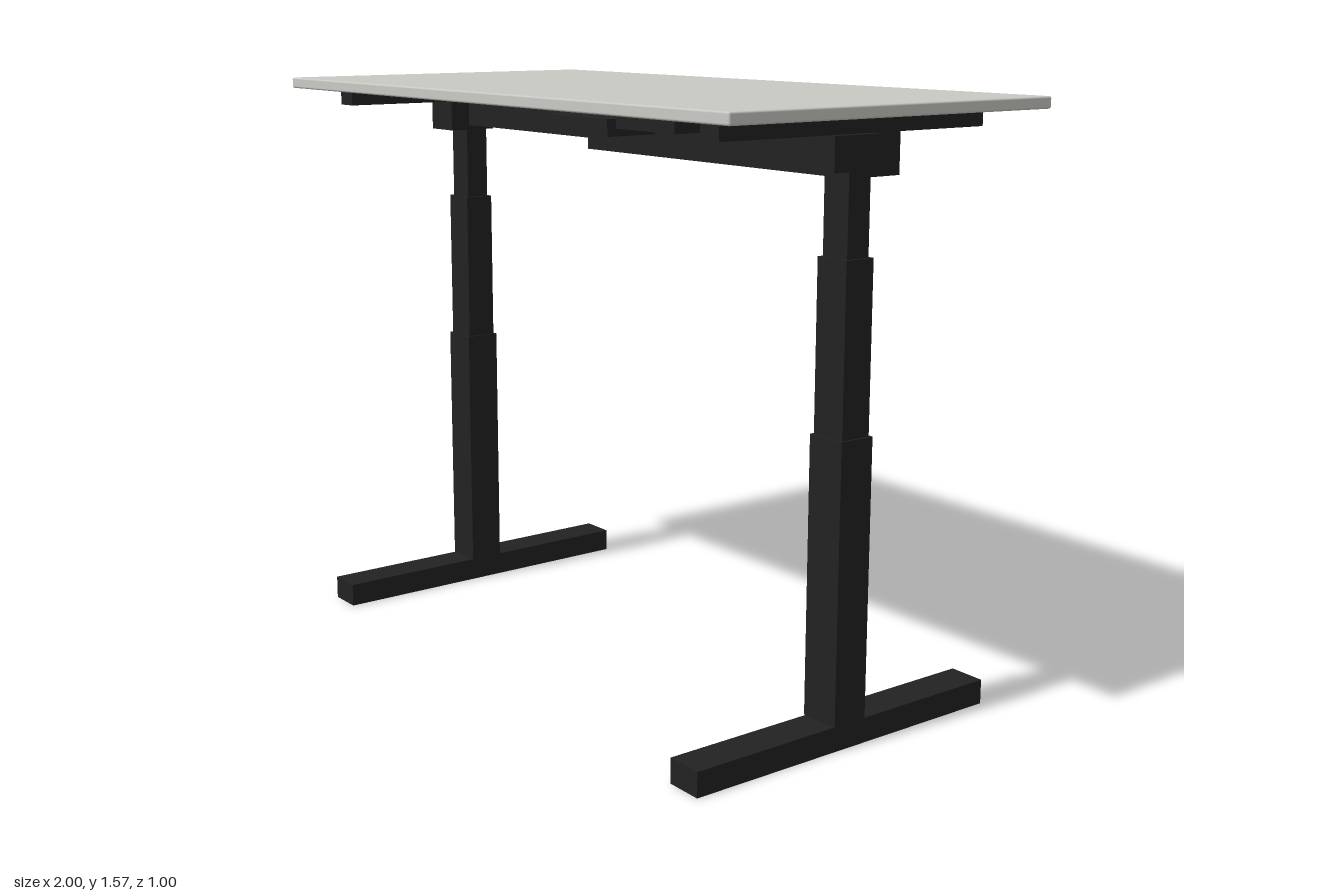
import * as THREE from 'three';
import { RoundedBoxGeometry } from 'three/addons/geometries/RoundedBoxGeometry.js';

export function createModel() {
  const desk = new THREE.Group();
  desk.name = 'standingDesk';

  const topGrey = new THREE.MeshStandardMaterial({ color: 0xc9c9c4 });
  topGrey.name = 'pale grey top';
  const frameBlack = new THREE.MeshStandardMaterial({ color: 0x222222 });
  frameBlack.name = 'black frame';

  // Box given by its [min, max] range on each axis
  function box(parent, name, [x0, x1], [y0, y1], [z0, z1]) {
    const mesh = new THREE.Mesh(new THREE.BoxGeometry(x1 - x0, y1 - y0, z1 - z0), frameBlack);
    mesh.position.set((x0 + x1) / 2, (y0 + y1) / 2, (z0 + z1) / 2);
    mesh.name = name;
    parent.add(mesh);
  }

  // Tabletop with slightly softened edges
  const top = new THREE.Mesh(new RoundedBoxGeometry(2, 0.03, 1, 2, 0.005), topGrey);
  top.position.y = 1.556;
  top.name = 'tabletop';
  desk.add(top);

  // Telescopic legs, each with foot, motor head and top support
  for (const side of [-1, 1]) {
    const leg = new THREE.Group();
    leg.name = side > 0 ? 'leftLeg' : 'rightLeg';
    leg.position.x = side * 0.83;
    box(leg, 'foot', [-0.05, 0.05], [0, 0.065], [-0.473, 0.473]);
    box(leg, 'lowerColumn', [-0.055, 0.055], [0.065, 0.78], [-0.05, 0.05]);
    box(leg, 'middleColumn', [-0.049, 0.049], [0.78, 1.208], [-0.043, 0.043]);
    box(leg, 'upperColumn', [-0.041, 0.041], [1.208, 1.412], [-0.034, 0.034]);
    box(leg, 'motorHead', [-0.056, 0.056], [1.412, 1.496], [-0.05, 0.095]);
    box(leg, 'topSupport', [-0.033, 0.033], [1.496, 1.541], [-0.413, 0.413]);
    desk.add(leg);
  }

  // Crossbeam joining the motor heads
  box(desk, 'crossbeam', [-0.775, 0.775], [1.426, 1.496], [-0.035, 0.035]);

  // Control box in front of the beam
  box(desk, 'controlBox', [-0.143, 0.143], [1.453, 1.498], [0.035, 0.188]);

  // Cable tray behind the beam
  box(desk, 'cableTray', [-0.571, 0.571], [1.354, 1.496], [-0.429, -0.258]);

  // Hand control under the front edge
  box(desk, 'handControl', [0.571, 0.785], [1.511, 1.541], [0.385, 0.474]);

  return desk;
}
